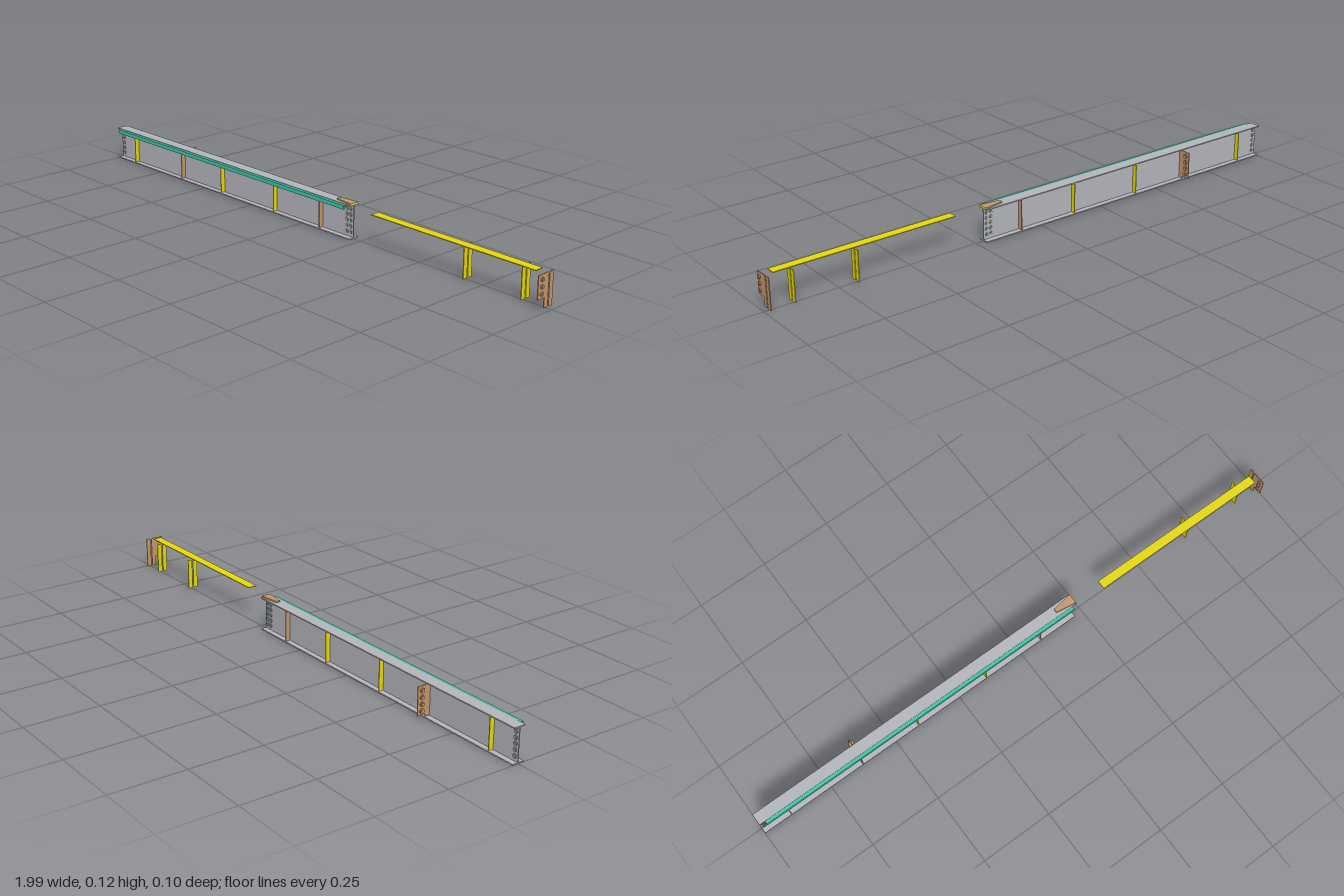
import * as THREE from 'three';

const paint = (color) => new THREE.MeshStandardMaterial({ color, side: THREE.DoubleSide });
const steel = paint(0xb4b4bc), yellow = paint(0xe6d80c), tan = paint(0xc4966c);
const green = paint(0x40c4a8), boltSteel = paint(0xa3aca0);

export function createModel() {
  const model = new THREE.Group();

  const add = (parent, name, geometry, material) => {
    const mesh = new THREE.Mesh(geometry, material);
    mesh.name = name;
    parent.add(mesh);
    return mesh;
  };

  // Box given by its two extreme corners
  const block = (parent, name, material, [x0, y0, z0], [x1, y1, z1]) => {
    const mesh = add(parent, name, new THREE.BoxGeometry(x1 - x0, y1 - y0, z1 - z0), material);
    mesh.position.set((x0 + x1) / 2, (y0 + y1) / 2, (z0 + z1) / 2);
  };

  // Bolt with shank and two heads, along x or z
  const bolt = (parent, material, x, y, z, axis, radius, length) => {
    const group = new THREE.Group();
    group.name = 'bolt';
    add(group, 'boltShank', new THREE.CylinderGeometry(radius * 0.6, radius * 0.6, length, 12), material);
    for (const side of [-1, 1]) {
      const head = add(group, 'boltHead', new THREE.CylinderGeometry(radius, radius, length * 0.25, 12), material);
      head.position.y = side * length * 0.28;
    }
    if (axis === 'x') group.rotation.z = Math.PI / 2;
    else group.rotation.x = Math.PI / 2;
    group.position.set(x, y, z);
    parent.add(group);
  };

  // Flat plate drawn in (z, y), thin along x
  const crossPlate = (parent, name, material, x, points, thickness = 0.003) => {
    const shape = new THREE.Shape(points.map(([z, y]) => new THREE.Vector2(-z, y)));
    const geometry = new THREE.ExtrudeGeometry(shape, { depth: thickness, bevelEnabled: false });
    geometry.translate(0, 0, -thickness / 2);
    geometry.rotateY(Math.PI / 2);
    add(parent, name, geometry, material).position.x = x;
  };

  // Half stiffener with clipped inner corners; side is +1 (front) or -1 (back)
  const halfStiffener = (parent, material, x, side) => crossPlate(parent, 'stiffener', material, x,
    [[0.006, 0.005], [0.018, 0.005], [0.018, 0.111], [0.006, 0.111], [0.002, 0.107], [0.002, 0.009]]
      .map(([z, y]) => [z * side, y]));

  // Stiffener widened into a bolted connection tab
  const boltedTab = (parent, x, side, y0, y1, boltHeights, radius) => {
    crossPlate(parent, 'connectionTab', tan, x,
      [[0.006, 0.005], [0.018, 0.005], [0.018, y0], [0.048, y0], [0.048, y1],
        [0.018, y1], [0.018, 0.111], [0.006, 0.111], [0.002, 0.107], [0.002, 0.009]]
        .map(([z, y]) => [z * side, y]));
    for (const y of boltHeights) bolt(parent, tan, x, y, side * 0.0335, 'x', radius, 0.016);
  };

  // Main beam: web and two flanges
  const beam = new THREE.Group();
  beam.name = 'beam';
  model.add(beam);
  block(beam, 'web', steel, [-1, 0.004, -0.0015], [0.22, 0.112, 0.0015]);
  block(beam, 'bottomFlange', steel, [-1, 0, -0.02], [0.22, 0.004, 0.02]);
  block(beam, 'topFlange', steel, [-1, 0.111, -0.02], [0.22, 0.115, 0.02]);

  // Bolt columns at both ends of the web
  for (const x of [-0.988, 0.19, 0.207]) {
    for (let i = 0; i < 5; i++) bolt(beam, boltSteel, x, 0.02 + i * 0.019, 0, 'z', 0.007, 0.011);
  }

  // Stiffeners along the beam
  for (const side of [-1, 1]) {
    for (const x of [-0.9, -0.41, -0.14]) halfStiffener(beam, yellow, x, side);
    halfStiffener(beam, tan, 0.08, side);
  }
  halfStiffener(beam, tan, -0.627, 1);
  boltedTab(beam, -0.627, -1, 0.013, 0.107, [0.027, 0.049, 0.071, 0.093], 0.008);

  // Edge angle along the front of the top flange
  const angle = new THREE.Group();
  angle.name = 'edgeAngle';
  model.add(angle);
  block(angle, 'angleTop', green, [-0.98, 0.1105, 0.013], [0.205, 0.1135, 0.031]);
  block(angle, 'angleLeg', green, [-0.98, 0.1, 0.028], [0.205, 0.1105, 0.031]);

  // Tapered cap plate on the beam end
  const taper = new THREE.Shape([[0.15, 0.007], [0.22, 0.017], [0.22, -0.017], [0.15, -0.007]]
    .map(([x, y]) => new THREE.Vector2(x, y)));
  const cap = new THREE.ExtrudeGeometry(taper, { depth: 0.005, bevelEnabled: false });
  cap.rotateX(-Math.PI / 2);
  add(model, 'capPlate', cap, tan).position.y = 0.115;
  block(model, 'capEnd', yellow, [0.2195, 0.115, -0.017], [0.221, 0.12, 0.017]);

  // Loose cover strip with its stiffener pairs
  block(model, 'coverStrip', yellow, [0.325, 0.112, 0], [0.962, 0.115, 0.031]);
  for (const side of [-1, 1]) {
    for (const x of [0.69, 0.905]) halfStiffener(model, yellow, x, side);
  }

  // Loose end connection tab
  halfStiffener(model, tan, 0.985, -1);
  boltedTab(model, 0.985, 1, 0.037, 0.11, [0.052, 0.074, 0.096], 0.0065);
  return model;
}
